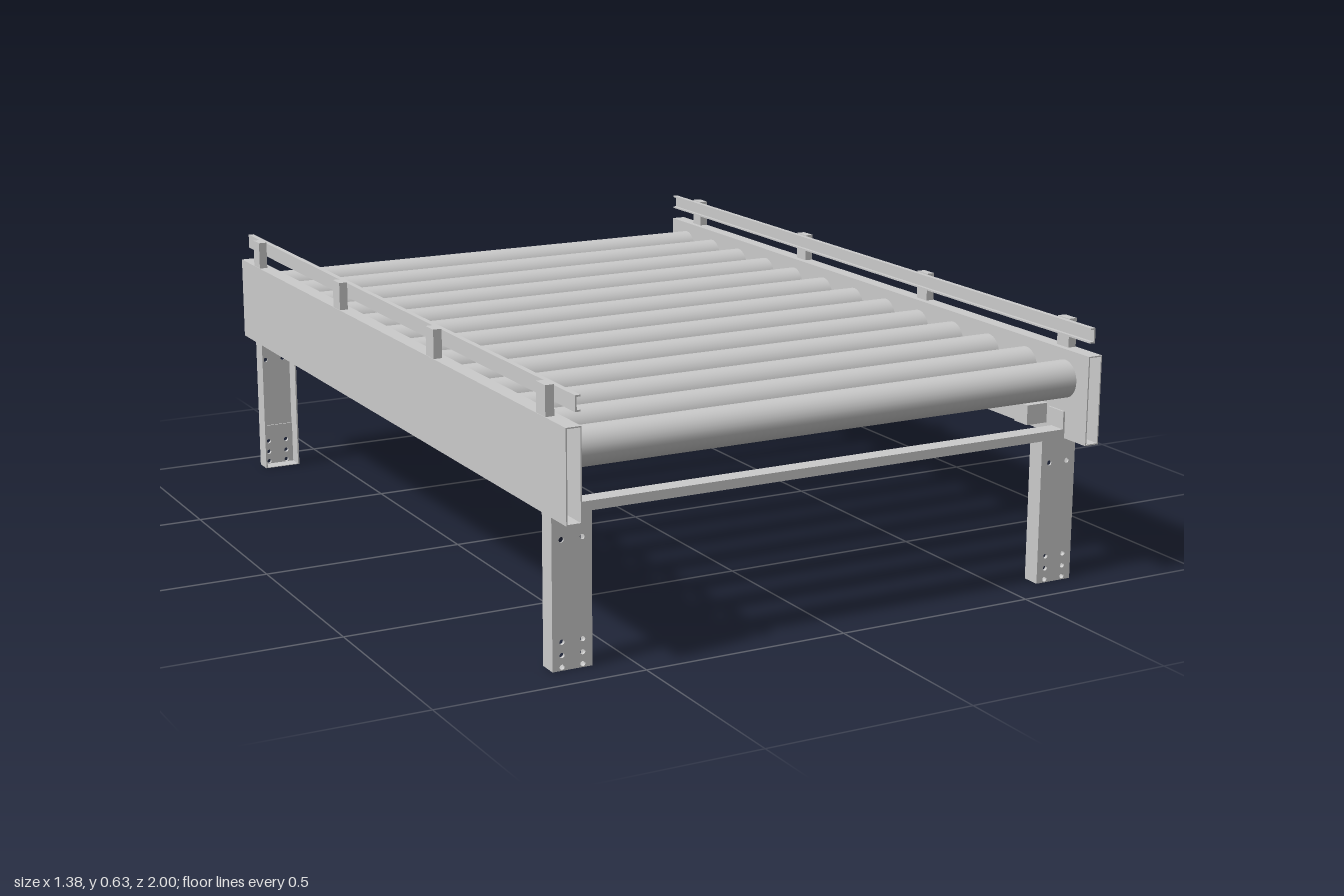
import * as THREE from 'three';

const grey = new THREE.MeshStandardMaterial({ color: 0xcccccc, side: THREE.DoubleSide });

// Box given by its minimum and maximum on each axis
function box(parent, name, x0, x1, y0, y1, z0, z1) {
  const mesh = new THREE.Mesh(new THREE.BoxGeometry(Math.abs(x1 - x0), y1 - y0, Math.abs(z1 - z0)), grey);
  mesh.position.set((x0 + x1) / 2, (y0 + y1) / 2, (z0 + z1) / 2);
  mesh.name = name;
  parent.add(mesh);
}

// Upright sheet in the xy plane, drilled with round holes
function drilledPlate(parent, name, w, h, thick, z, holes) {
  const s = new THREE.Shape();
  s.moveTo(-w / 2, 0).lineTo(w / 2, 0).lineTo(w / 2, h).lineTo(-w / 2, h).closePath();
  for (const [x, y] of holes) {
    s.holes.push(new THREE.Path().absarc(x, y, 0.006, 0, Math.PI * 2, true));
  }
  const geo = new THREE.ExtrudeGeometry(s, { depth: thick, bevelEnabled: false, curveSegments: 8 });
  const mesh = new THREE.Mesh(geo, grey);
  mesh.position.z = z;
  mesh.name = name;
  parent.add(mesh);
}

// Channel leg, open towards the middle of the conveyor, with a bolted foot inside
function makeLeg() {
  const leg = new THREE.Group();
  const w = 0.096, t = 0.004, depth = 0.046, h = 0.35;
  const pairs = (ys) => ys.flatMap((y) => [[-0.025, y], [0.025, y]]);
  drilledPlate(leg, 'legWeb', w, h, t, depth / 2 - t, pairs([0.295, 0.065, 0.035, 0.008]));
  for (const s of [-1, 1]) {
    box(leg, 'legFlange', s * (w / 2 - t), s * w / 2, 0, h, -depth / 2, depth / 2 - t);
  }
  drilledPlate(leg, 'footPlate', w - 2 * t, 0.11, t, depth / 2 - 2 * t, pairs([0.065, 0.035, 0.008]));
  box(leg, 'footBase', -w / 2 + t, w / 2 - t, 0, 0.0015, -depth / 2, depth / 2 - t);
  box(leg, 'legTop', -w / 2 + t, w / 2 - t, h - t, h, -depth / 2, depth / 2 - t);
  return leg;
}

export function createModel() {
  const model = new THREE.Group();
  model.name = 'rollerConveyor';

  // Rollers
  const rollerGeo = new THREE.CylinderGeometry(0.045, 0.045, 1.306, 32).rotateZ(Math.PI / 2);
  for (let i = 0; i < 13; i++) {
    const roller = new THREE.Mesh(rollerGeo, grey);
    roller.name = 'roller';
    roller.position.set(0, 0.493, (i - 6) * 0.152);
    model.add(roller);
  }

  for (const s of [1, -1]) {
    // Hollow side beam
    const beam = new THREE.Group();
    beam.name = s > 0 ? 'leftSideBeam' : 'rightSideBeam';
    const t = 0.003;
    box(beam, 'outerWall', s * (0.69 - t), s * 0.69, 0.35, 0.563, -1, 1);
    box(beam, 'innerWall', s * 0.653, s * (0.653 + t), 0.35, 0.563, -1, 1);
    box(beam, 'topWall', s * (0.653 + t), s * (0.69 - t), 0.563 - t, 0.563, -1, 1);
    box(beam, 'bottomWall', s * (0.653 + t), s * (0.69 - t), 0.35, 0.35 + t, -1, 1);
    model.add(beam);

    // Guard rail: shallow channel opening inwards, on four posts
    const guard = new THREE.Group();
    guard.name = s > 0 ? 'leftGuardRail' : 'rightGuardRail';
    box(guard, 'railWeb', s * 0.664, s * 0.668, 0.594, 0.63, -1, 1);
    for (const y of [0.594, 0.626]) box(guard, 'railLip', s * 0.655, s * 0.664, y, y + 0.004, -1, 1);
    for (const z of [-0.88, -0.293, 0.293, 0.88]) {
      box(guard, 'guardPost', s * 0.668, s * 0.689, 0.563, 0.632, z - 0.022, z + 0.022);
    }
    model.add(guard);

    // Legs and cross beam tabs
    for (const e of [1, -1]) {
      const leg = makeLeg();
      leg.name = e > 0 ? 'frontLeg' : 'backLeg';
      leg.position.set(s * 0.638, 0, e * 0.897);
      if (e < 0) leg.rotation.y = Math.PI;
      model.add(leg);
      box(model, 'beamTab', s * 0.648, s * 0.653, 0.372, 0.415, e * 0.86, e * 0.92);
    }
  }

  for (const e of [1, -1]) {
    // Cross beam, and end block of the inner rail
    box(model, 'crossBeam', -0.653, 0.653, 0.35, 0.372, e * 0.876, e * 0.92);
    box(model, 'railEndBlock', 0.596, 0.653, 0.372, 0.42, e * 0.8, e * 0.85);
  }
  // Inner rail along the left beam
  box(model, 'innerRail', 0.6, 0.63, 0.376, 0.416, -0.8, 0.8);

  return model;
}
